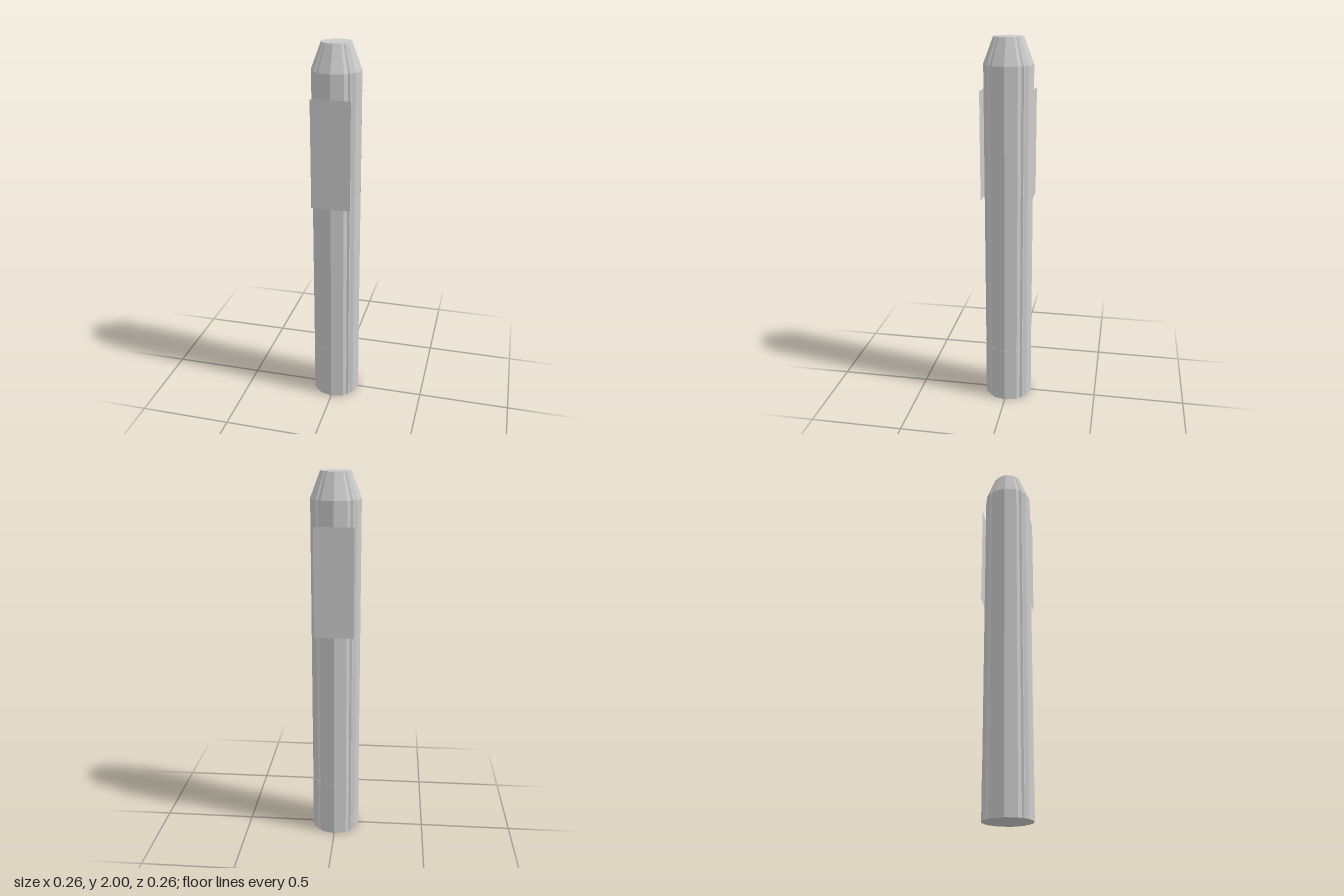
import * as THREE from 'three';

const metal = new THREE.MeshStandardMaterial({ color: 0xcccccc, flatShading: true, side: THREE.DoubleSide });

// Corners in one quadrant: [angle in degrees, relative radius], with a small grooved rib on the diagonal
const QUADRANT = [[0, 1], [30, 1], [40.5, 0.945], [45, 1], [49.5, 0.945], [60, 1]];
const SIDES = QUADRANT.length * 4;

// A tapered section whose round outline is moved onto the ribbed twelve-sided outline
function section(name, rTop, rBottom, y0, y1, open) {
  const geo = new THREE.CylinderGeometry(rTop, rBottom, y1 - y0, SIDES, 1, open);
  const pos = geo.attributes.position;
  for (let i = 0; i < pos.count; i++) {
    const x = pos.getX(i), z = pos.getZ(i), r = Math.hypot(x, z);
    if (r < 1e-6) continue;
    const step = (Math.round((Math.atan2(x, z) / (2 * Math.PI)) * SIDES) + SIDES) % SIDES;
    const [deg, k] = QUADRANT[step % QUADRANT.length];
    const a = THREE.MathUtils.degToRad(deg + 90 * Math.floor(step / QUADRANT.length));
    pos.setX(i, Math.sin(a) * r * k);
    pos.setZ(i, Math.cos(a) * r * k);
  }
  const mesh = new THREE.Mesh(geo, metal);
  mesh.name = name;
  mesh.position.y = (y0 + y1) / 2;
  return mesh;
}

export function createModel() {
  const group = new THREE.Group();
  group.name = 'taperedPost';

  // Base sleeve, shaft and tapered tip
  group.add(section('baseSleeve', 0.131, 0.131, 0, 0.31, false));
  group.add(section('shaft', 0.13, 0.13, 0.3, 1.865, true));
  group.add(section('taperedTip', 0.078, 0.13, 1.865, 2, false));

  // Thin flat plates touching the front and back
  for (const s of [1, -1]) {
    const plate = new THREE.Mesh(new THREE.PlaneGeometry(0.206, 0.57), metal);
    plate.name = s > 0 ? 'frontPlate' : 'backPlate';
    plate.position.set(0, 1.455, s * 0.131);
    if (s < 0) plate.rotation.y = Math.PI;
    group.add(plate);
  }
  return group;
}
